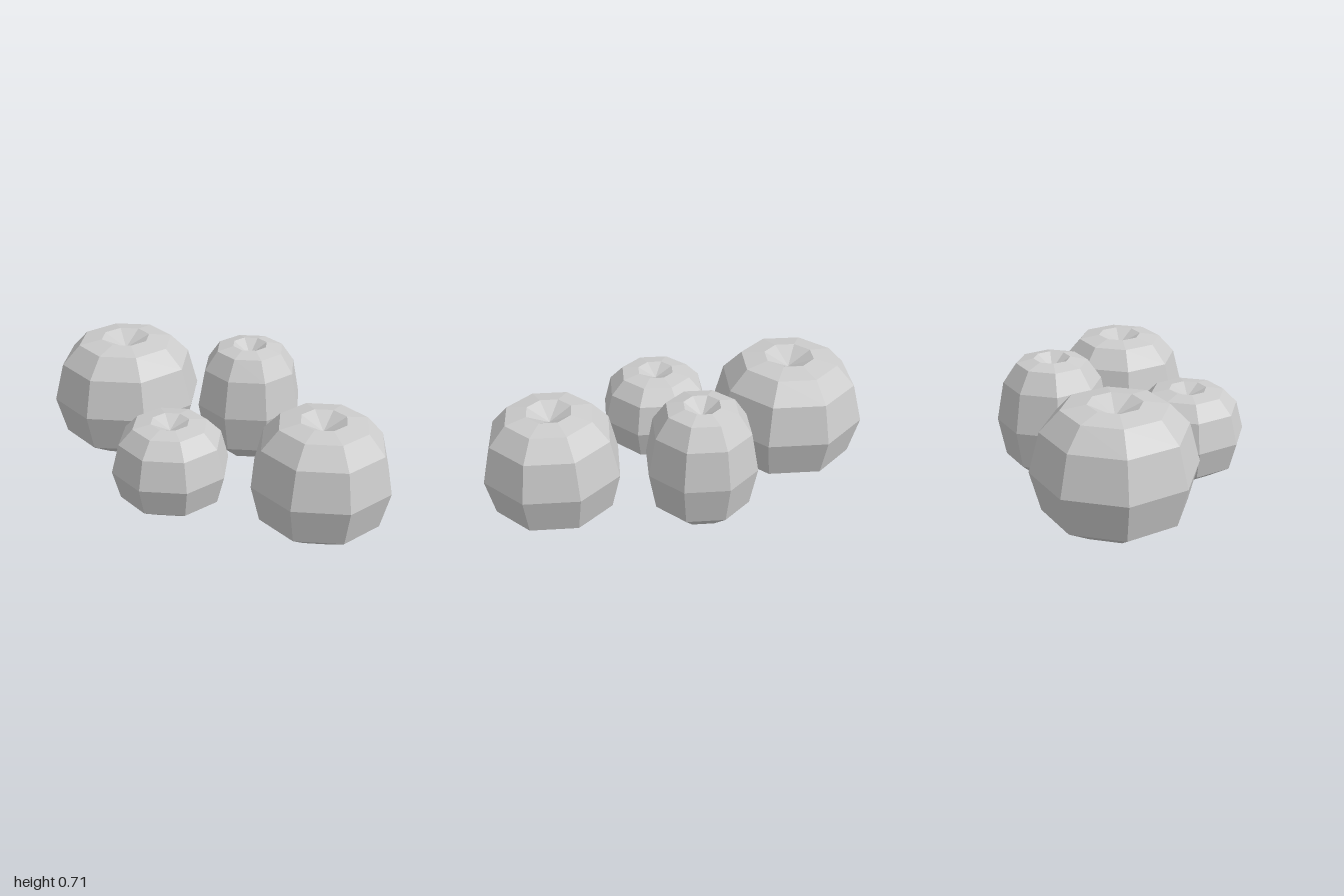
import * as THREE from 'three';

// Unit profile from the underside pole up to the bottom of the top dimple: [radius, height]
const PROFILE = [
  [0, -0.765], [0.5, -0.725], [0.87, -0.49], [1, 0],
  [0.87, 0.49], [0.63, 0.74], [0.325, 0.79], [0, 0.63],
];

// Each fruit: name, centre x, y, z, radius, vertical scale
const FRUITS = [
  ['largeFruit', -0.603, 0.39, -0.125, 0.397, 0.4],
  ['tallFruit', 0.03, 0.39, -0.35, 0.285, 0.4],
  ['mediumFruit', 0.638, 0.298, 0.087, 0.36, 0.39],
  ['smallFruit', -0.063, 0.3, 0.33, 0.298, 0.298],
];

export function createModel() {
  const model = new THREE.Group();
  model.name = 'fruitCluster';
  const material = new THREE.MeshStandardMaterial({ color: 0xcccccc, flatShading: true });

  // Eight-sided dimpled fruits
  for (const [name, x, y, z, radius, height] of FRUITS) {
    const points = PROFILE.map(([r, h]) => new THREE.Vector2(r * radius, h * height));
    const fruit = new THREE.Mesh(new THREE.LatheGeometry(points, 8), material);
    fruit.name = name;
    fruit.position.set(x, y, z);
    model.add(fruit);
  }
  return model;
}
